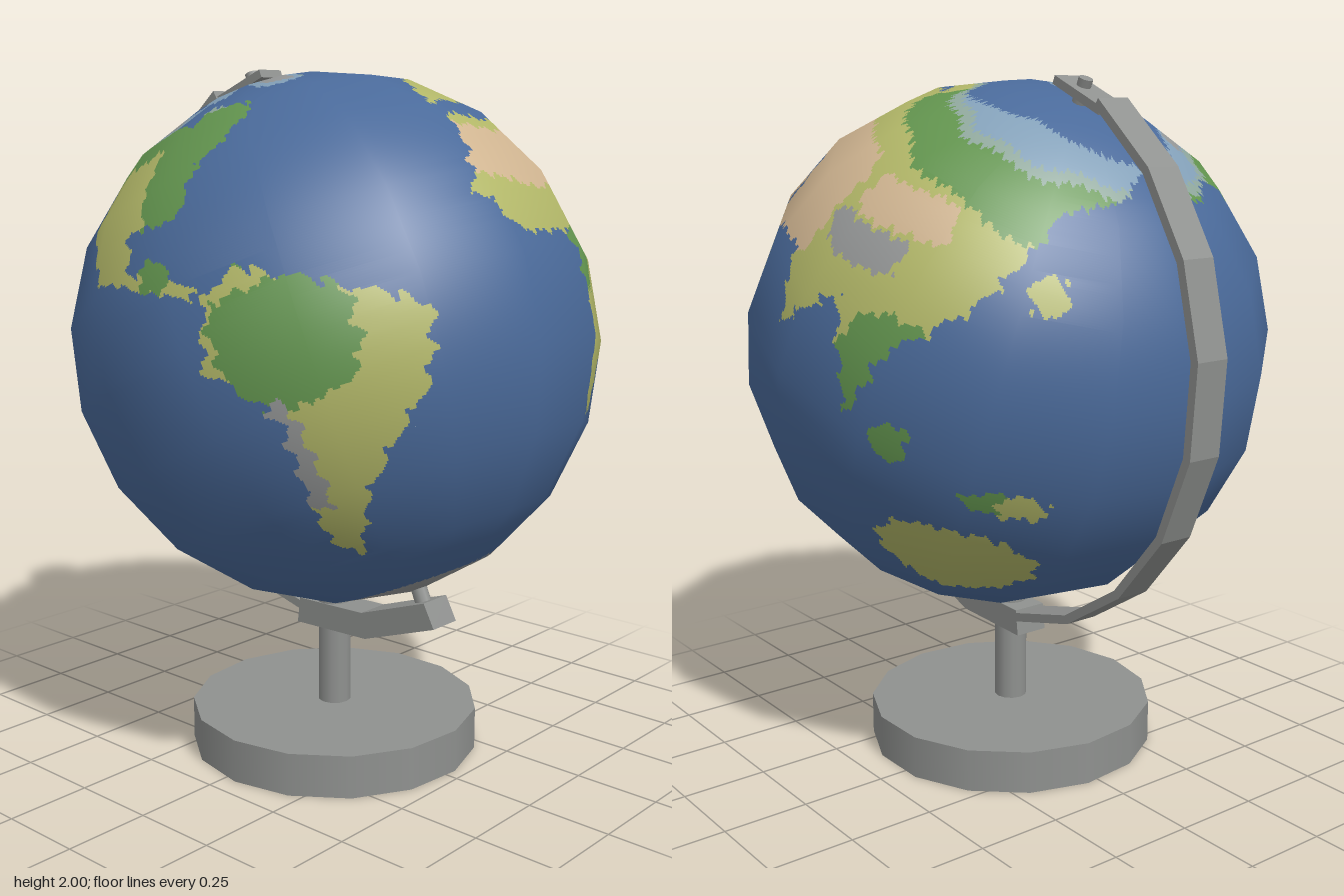
import * as THREE from 'three';

const mat = (name, color) => Object.assign(new THREE.MeshStandardMaterial({ color }), { name });
const M = {
  ocean: mat('ocean blue', 0x4a6a9a), olive: mat('grassland olive', 0xb2b768), green: mat('forest green', 0x63954f),
  tan: mat('desert tan', 0xd0b591), grey: mat('mountain grey', 0x959797), pale: mat('tundra pale blue', 0x83a0b8),
  sage: mat('cold steppe sage', 0x8fa79c), metal: mat('stand metal', 0x8f918f),
};
const CENTRE = new THREE.Vector3(0.04, 1.23, 0);
const rad = THREE.MathUtils.degToRad, TILT = rad(23.5);

// Simple continent outlines as longitude, latitude pairs
const CONTINENTS = {
  northAmerica: [-168, 66, -125, 70, -83, 68, -93, 58, -79, 52, -77, 62, -57, 52, -75, 38, -81, 26, -97, 29, -95, 18, -87, 20,
    -78, 8, -106, 21, -124, 42, -137, 59, -160, 57],
  southAmerica: [-77, 8, -70, 12, -35, -6, -40, -21, -57, -37, -68, -54, -74, -48, -70, -18, -81, -5],
  africa: [-6, 35, 33, 31, 43, 12, 51, 12, 40, -4, 40, -15, 28, -33, 19, -34, 9, 4, -8, 4, -17, 14],
  eurasia: [-9, 37, -2, 46, 9, 55, 27, 59, 8, 59, 14, 68, 40, 67, 104, 77, 180, 68, 160, 60, 137, 55, 122, 32, 108, 18, 103, 2,
    91, 22, 77, 8, 70, 22, 59, 21, 43, 13, 35, 33, 27, 37, 31, 45, 16, 40, 2, 42],
};
// Islands as ovals: longitude, latitude, half width, half height
const ISLANDS = [[133, -25, 19, 11], [-42, 73, 17, 10], [-80, 73, 13, 6], [47, -19, 2, 6], [138, 38, 5, 4], [114, 1, 4, 4], [140, -5, 9, 3]];
// Climate zones as rounded boxes in the same terms
const ZONES = {
  grey: [[88, 33, 13, 4], [-70, -26, 3, 12], [-110, 65, 12, 3], [-42, 73, 9, 7]],
  green: [[19, -1, 11, 7], [118, 6, 22, 18], [-64, -4, 14, 12]],
  tan: [[10, 23, 29, 8], [53, 32, 20, 15], [93, 43, 16, 5]],
};

function inside(p, x, y) {
  let hit = false;
  for (let i = 0, j = p.length - 2; i < p.length; j = i, i += 2)
    if ((p[i + 1] > y) !== (p[j + 1] > y) && x < (p[j] - p[i]) * (y - p[i + 1]) / (p[j + 1] - p[i + 1]) + p[i]) hit = !hit;
  return hit;
}
const inOval = ([cx, cy, w, h], x, y, power) => Math.abs((x - cx) / w) ** power + Math.abs((y - cy) / h) ** power < 1;

// Northern belts run forest, cold steppe, tundra; they drift south toward the east of Asia
function climate(lon, lat) {
  for (const key in ZONES) if (ZONES[key].some(z => inOval(z, lon, lat, 4))) return key;
  const america = lon < -30;
  const steppe = america ? 58 : 66 - lon / 30;
  const forest = america ? (lon < -92 ? 50 : 12) : (lon < 28 ? steppe : 60 - lon / 10);
  return lat > steppe + 3 ? 'pale' : lat > steppe ? 'sage' : lat > forest ? 'green' : 'olive';
}

function colourAt(lon, lat) {
  // Small waves roughen coasts and zone edges
  const x = lon + Math.sin(lat) + Math.sin(lat * 2 + lon) / 2;
  const y = lat + Math.sin(lon) / 2 + Math.sin(lon * 2 + lat) / 2;
  if (y < 4 * Math.cos(rad(lon - 100)) - 71) return 'grey';
  const land = Object.values(CONTINENTS).some(p => inside(p, x, y)) || ISLANDS.some(o => inOval(o, x, y, 2));
  return land ? climate(x, y + Math.sin(x / 6)) : 'ocean';
}

// Globe: 15 x 10 flat facets, each cut into fine strips by colour
function makeGlobe() {
  const R = 0.764, SEG = 15, RINGS = 10, COLS = 720, ROWS = 360;
  const corner = (s, t) => new THREE.Vector3().setFromSphericalCoords(R, t * Math.PI / RINGS, rad(s * 360 / SEG - 84));
  const point = (seg, ring, c, r) => {
    const u = c * SEG / COLS - seg, v = r * RINGS / ROWS - ring;
    const top = corner(seg, ring).lerp(corner(seg + 1, ring), u);
    return top.lerp(corner(seg, ring + 1).lerp(corner(seg + 1, ring + 1), u), v);
  };
  const faces = {};
  for (let r = 0; r < ROWS; r++) {
    const ring = Math.floor(r * RINGS / ROWS), lat = 90 - (r + 0.5) * 180 / ROWS;
    const row = Array.from({ length: COLS }, (_, c) => colourAt((c + 0.5) * 360 / COLS - 180, lat));
    for (let c = 0, e; c < COLS; c = e) {
      const seg = Math.floor(c * SEG / COLS), end = (seg + 1) * COLS / SEG;
      for (e = c + 1; e < end && row[e] === row[c];) e++;
      const [nw, sw, se, ne] = [[c, r], [c, r + 1], [e, r + 1], [e, r]].map(q => point(seg, ring, ...q));
      (faces[row[c]] ??= []).push(nw, sw, se, nw, se, ne);
    }
  }
  const globe = new THREE.Group();
  globe.name = 'globe';
  for (const [key, pts] of Object.entries(faces)) {
    const g = new THREE.BufferGeometry().setFromPoints(pts);
    const normals = pts.flatMap(p => p.clone().normalize().toArray());
    g.setAttribute('normal', new THREE.Float32BufferAttribute(normals, 3));
    const mesh = new THREE.Mesh(g, M[key]);
    mesh.name = key === 'ocean' ? 'ocean' : key + 'Land';
    globe.add(mesh);
  }
  globe.position.copy(CENTRE);
  globe.rotation.z = TILT;
  return globe;
}

// Flat bar bent around the globe in straight steps, from one angle to another
function arcBar(inner, outer, from, to, steps) {
  const arc = r => Array.from({ length: steps + 1 }, (_, i) => {
    const a = rad(from + (to - from) * i / steps);
    return new THREE.Vector2(Math.cos(a) * r, Math.sin(a) * r);
  });
  const shape = new THREE.Shape([...arc(outer), ...arc(inner).reverse()]);
  return new THREE.ExtrudeGeometry(shape, { depth: 0.104, bevelEnabled: false }).translate(0, 0, -0.046);
}

export function createModel() {
  const model = new THREE.Group();
  model.name = 'deskGlobe';
  const add = (name, geo, x, y, z, tilt = 0) => {
    const m = new THREE.Mesh(geo, M.metal);
    m.name = name;
    m.position.set(x, y, z);
    m.rotation.z = tilt;
    model.add(m);
  };
  model.add(makeGlobe());

  // Foot and post
  add('base', new THREE.CylinderGeometry(0.43, 0.43, 0.125, 15), 0.038, 0.0625, 0.008);
  add('post', new THREE.CylinderGeometry(0.049, 0.049, 0.38, 12), 0.038, 0.3, 0.008);

  // Curved arm, its flat tip and its thicker foot
  add('arm', arcBar(0.812, 0.838, 122, 264, 8), ...CENTRE);
  add('armTip', new THREE.BoxGeometry(0.205, 0.024, 0.09), -0.308, 1.948, 0.006, 0.4);
  add('armFoot', arcBar(0.802, 0.88, 263, 298, 2), ...CENTRE);

  // Axis pins at both poles
  add('topPin', new THREE.CylinderGeometry(0.02, 0.02, 0.09, 10), -0.277, 1.95, 0.006, TILT);
  add('bottomPin', new THREE.CylinderGeometry(0.024, 0.024, 0.1, 10), 0.366, 0.525, 0.006, TILT);
  return model;
}
